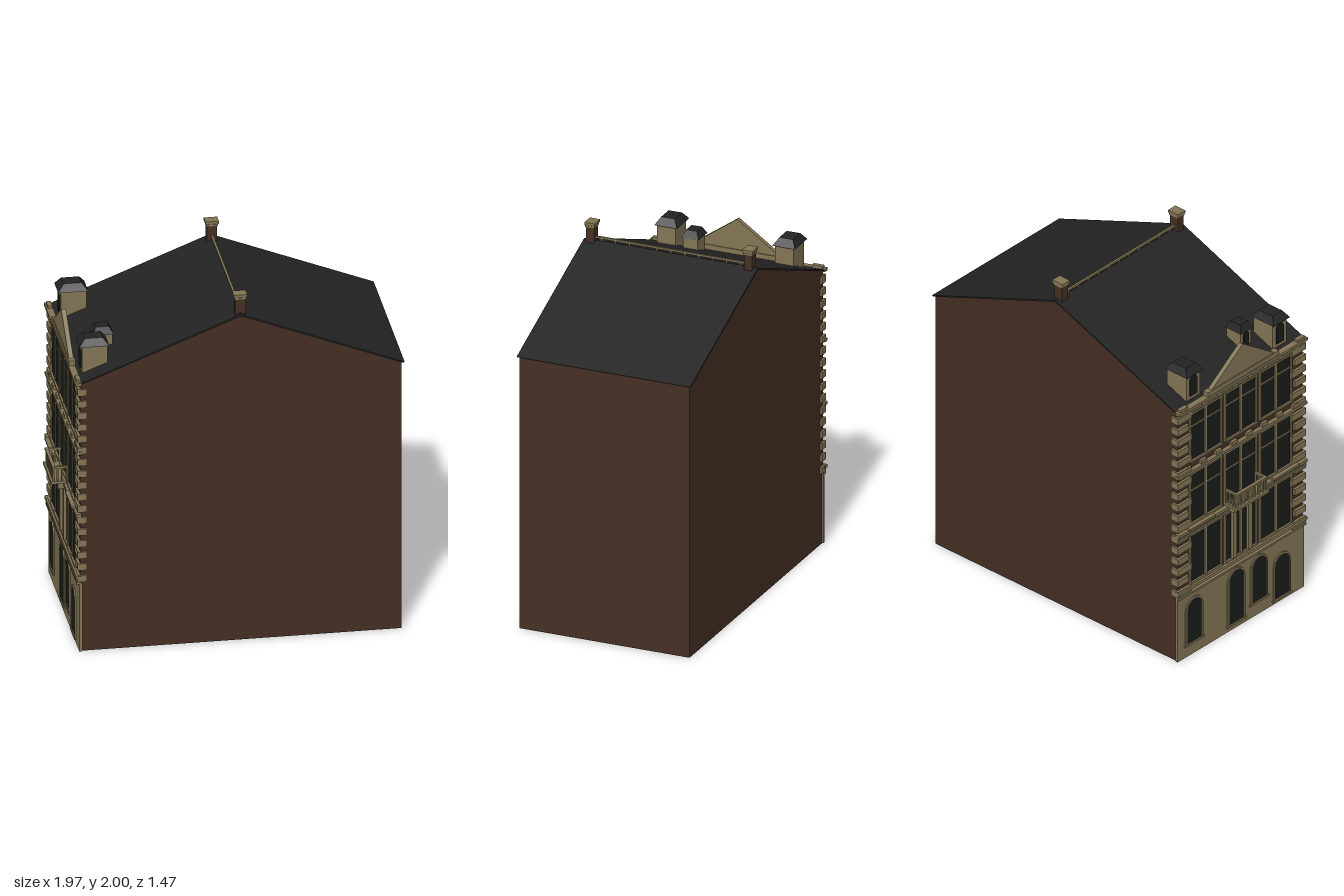
import * as THREE from 'three';

const mat = (name, color, side = THREE.FrontSide) => {
  const m = new THREE.MeshStandardMaterial({ color, side });
  m.name = name;
  return m;
};

export function createModel() {
  const brick = mat('brown brick', 0x452f24);
  const stone = mat('tan stone', 0x837555);
  const slate = mat('dark slate', 0x232323);
  const glass = mat('dark glass', 0x1a1d1a);

  const model = new THREE.Group();
  const house = new THREE.Group();
  house.name = 'townHouse';
  house.rotation.y = THREE.MathUtils.degToRad(-73.1); // facade is local +z
  model.add(house);

  const add = (name, geo, m, x = 0, y = 0, z = 0, parent = house) => {
    const mesh = new THREE.Mesh(geo, m);
    mesh.name = name;
    mesh.position.set(x, y, z);
    parent.add(mesh);
    return mesh;
  };
  // Box given by its centre x, bottom y and back z
  const box = (name, m, x, y, z, w, h, d, parent) =>
    add(name, new THREE.BoxGeometry(w, h, d), m, x, y + h / 2, z + d / 2, parent);
  const polygon = (pts) => new THREE.Shape(pts.map((p) => new THREE.Vector2(...p)));
  const extrude = (shape, depth) =>
    new THREE.ExtrudeGeometry(shape, { depth, bevelEnabled: false, curveSegments: 8 });
  const archPath = (w, h, Type = THREE.Shape) => {
    const p = new Type();
    p.moveTo(-w / 2, 0);
    p.lineTo(w / 2, 0);
    p.lineTo(w / 2, h - w / 2);
    p.absarc(0, h - w / 2, w / 2, 0, Math.PI, false);
    p.closePath();
    return p;
  };

  // Brick body with gable ends
  const FRONT = 0.855;
  const body = extrude(polygon([[-FRONT, 0], [FRONT, 0], [FRONT, 1.55], [0, 1.885], [-FRONT, 1.55]]), 0.98);
  body.translate(0, 0, -0.49).rotateY(Math.PI / 2);
  add('brickBody', body, brick);

  // Pitched roof with a thin overhang
  const roof = extrude(polygon([[-0.872, 1.55], [-0.86, 1.547], [0, 1.884], [0.86, 1.547], [0.872, 1.55], [0, 1.895]]), 1.0);
  roof.translate(0, 0, -0.5).rotateY(Math.PI / 2);
  add('slateRoof', roof, slate);

  // Chimneys on the ridge ends
  for (const s of [-1, 1]) {
    box('chimneyStack', brick, s * 0.455, 1.85, -0.0275, 0.045, 0.13, 0.055);
    box('chimneyCollar', stone, s * 0.455, 1.972, -0.032, 0.052, 0.01, 0.064);
    box('chimneyCap', stone, s * 0.455, 1.985, -0.036, 0.058, 0.015, 0.072);
  }

  // Ridge railing
  box('ridgeRail', stone, 0, 1.907, -0.006, 0.87, 0.011, 0.012);
  for (let i = 0; i < 11; i++) {
    box('ridgePost', stone, -0.4 + i * 0.08, 1.885, -0.004, 0.008, 0.024, 0.008);
  }

  // Dormer with a truncated hip roof
  const dormer = (x, z, w, d, base, top) => {
    const g = new THREE.Group();
    g.name = 'dormer';
    g.position.set(x, 0, z);
    house.add(g);
    const h = top - base;
    box('dormerBody', stone, 0, base, -d * 0.45, w * 0.82, h, d * 0.85, g);
    add('dormerWindow', extrude(archPath(w * 0.42, h * 0.75), 0.006), glass, 0, base + h * 0.18, d * 0.4, g);
    const hip = new THREE.BoxGeometry(w, 0.04, d);
    const p = hip.attributes.position;
    for (let i = 0; i < p.count; i++) {
      if (p.getY(i) > 0) {
        p.setX(i, p.getX(i) * 0.6);
        p.setZ(i, p.getZ(i) * 0.6);
      }
    }
    hip.computeVertexNormals();
    add('dormerRoof', hip, slate, 0, top + 0.02, 0, g);
  };
  dormer(-0.34, 0.765, 0.13, 0.16, 1.56, 1.72);
  dormer(0.34, 0.765, 0.13, 0.16, 1.56, 1.72);
  dormer(0.177, 0.69, 0.1, 0.115, 1.59, 1.70);

  // Stone ground floor with arched openings
  box('groundFloorStone', stone, 0, 0, 0.845, 0.995, 0.395, 0.016);
  for (const [x, y, top] of [[-0.37, 0.08, 0.345], [-0.04, 0.04, 0.365], [0.14, 0.09, 0.36], [0.32, 0.03, 0.29]]) {
    const h = top - y;
    add('groundOpening', extrude(archPath(0.115, h), 0.004), glass, x, y, 0.86);
    const ring = archPath(0.135, h + 0.01);
    ring.holes.push(archPath(0.115, h, THREE.Path));
    add('archSurround', extrude(ring, 0.008), stone, x, y, 0.86);
    box('groundSill', stone, x, y - 0.012, 0.86, 0.15, 0.012, 0.01);
  }

  // Horizontal bands and cornice
  for (const [y, h, out, w] of [
    [0.39, 0.012, 0.02, 1.0], [0.422, 0.018, 0.025, 1.01], [0.76, 0.012, 0.02, 1.0],
    [0.783, 0.017, 0.025, 1.01], [1.145, 0.016, 0.024, 1.01], [1.515, 0.012, 0.016, 1.0],
    [1.545, 0.016, 0.028, 1.01],
  ]) box('stoneBand', stone, 0, y, 0.85, w, h, out + 0.005);
  for (let i = 0; i < 8; i++) {
    const x = -0.42 + i * 0.12;
    box('bandBracket', stone, x, 1.161, 0.85, 0.045, 0.02, 0.022);
    box('corniceBracket', stone, x, 1.525, 0.85, 0.03, 0.022, 0.024);
  }

  // Corner quoins, alternating long and short
  for (const s of [-1, 1]) {
    for (let i = 0; i < 17; i++) {
      const w = i % 2 ? 0.085 : 0.11;
      box('quoin', stone, s * (0.502 - w / 2), 0.405 + i * 0.0675, 0.82, w, 0.038, 0.05);
    }
  }

  // Three bays of two-light windows on each upper floor
  const floors = [
    { y: 0.45, h: 0.3, bar: 0 },
    { y: 0.82, h: 0.31, bar: 0.2 },
    { y: 1.21, h: 0.295, bar: 0.21 },
  ];
  floors.forEach(({ y, h, bar }, f) => {
    for (const x of [-0.275, 0, 0.275]) {
      box('windowGlass', glass, x, y, 0.852, 0.24, h, 0.007);
      for (const dx of [-0.122, 0, 0.122]) {
        box('windowMullion', stone, x + dx, y, 0.85, dx ? 0.014 : 0.022, h, 0.014);
      }
      box('windowHead', stone, x, y + h - 0.008, 0.85, 0.255, 0.012, 0.017);
      box('windowSill', stone, x, y - 0.008, 0.85, 0.255, 0.012, 0.02);
      if (bar) box('windowTransom', stone, x, y + bar, 0.85, 0.24, 0.008, 0.012);
      if (f === 1 && x) box('windowLedge', stone, x * 1.2, y - 0.02, 0.85, 0.2, 0.012, 0.042);
    }
  });
  // Pilasters framing the central bay below the balcony
  for (const s of [-1, 1]) box('centrePilaster', stone, s * 0.06, 0.45, 0.85, 0.03, 0.3, 0.025);

  // Central balcony with balustrade
  box('balconySlab', stone, 0, 0.803, 0.85, 0.25, 0.016, 0.1);
  box('balconyRail', stone, 0, 0.89, 0.925, 0.24, 0.012, 0.018);
  for (let i = 0; i < 9; i++) {
    box('baluster', stone, -0.112 + i * 0.028, 0.815, 0.929, 0.012, 0.078, 0.01);
  }
  for (const s of [-1, 1]) {
    box('balconySideRail', stone, s * 0.114, 0.89, 0.855, 0.012, 0.012, 0.08);
    for (let i = 0; i < 3; i++) box('sideBaluster', stone, s * 0.114, 0.815, 0.86 + i * 0.024, 0.01, 0.078, 0.01);
    box('balconyBracket', stone, s * 0.09, 0.765, 0.85, 0.03, 0.04, 0.06);
  }

  // Triangular pediment above the cornice
  box('pedimentBase', stone, 0, 1.56, 0.845, 0.56, 0.028, 0.035);
  add('pediment', extrude(polygon([[-0.25, 0], [0.25, 0], [0, 0.175]]), 0.025), stone, 0, 1.585, 0.85);
  // Small end blocks on the parapet
  for (const s of [-1, 1]) box('parapetBlock', stone, s * 0.46, 1.56, 0.85, 0.06, 0.015, 0.025);

  return model;
}
